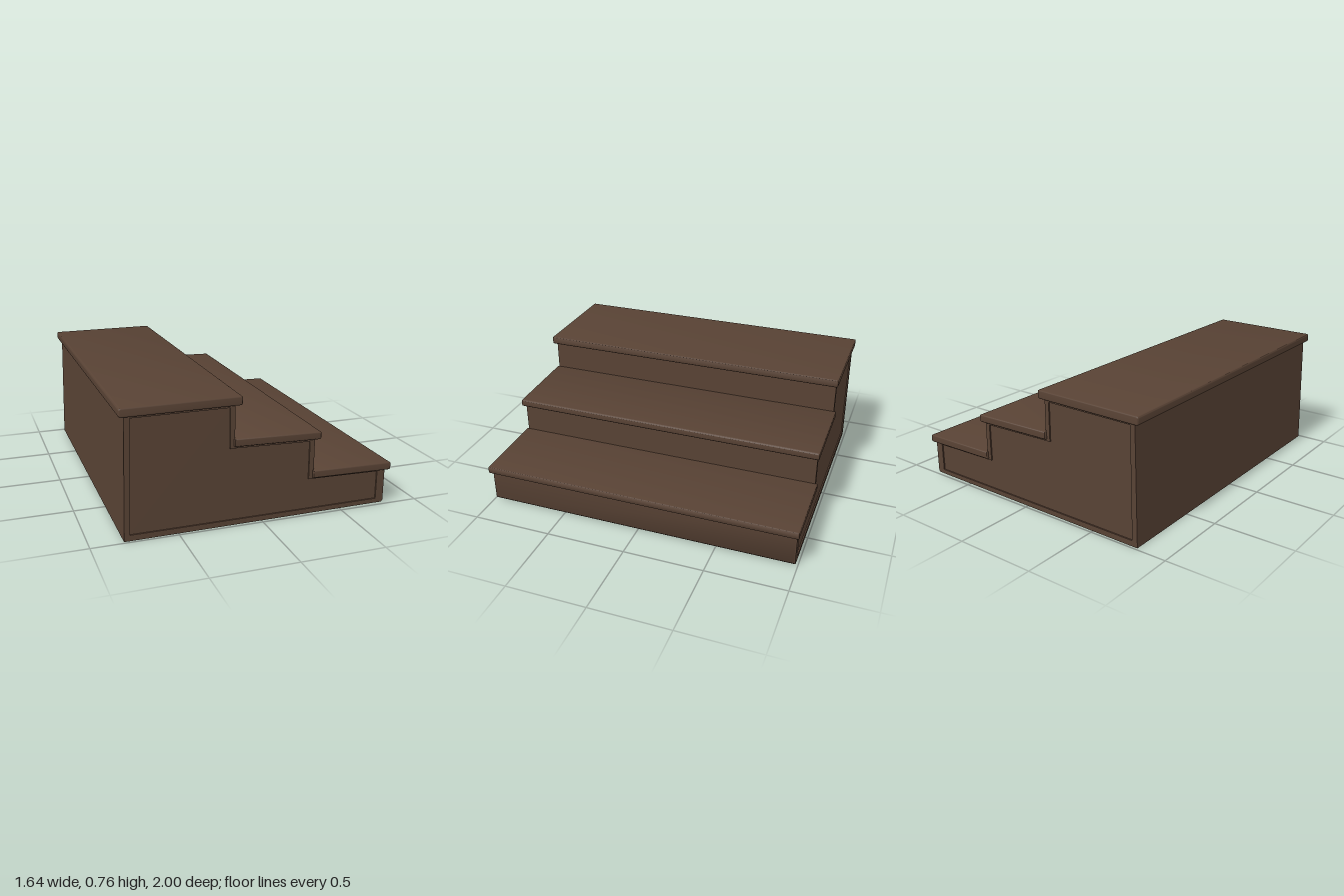
import * as THREE from 'three';
import { toCreasedNormals } from 'three/addons/utils/BufferGeometryUtils.js';

const wood = new THREE.MeshStandardMaterial({ color: 0x584234 });
wood.name = 'darkWood';

const points = (list) => list.map(([x, y]) => new THREE.Vector2(x, y));

// Extrudes an x-y outline along z between two depths, with optional rounded ends
function extrudeZ(name, shape, z0, z1, round = 0) {
  const geometry = new THREE.ExtrudeGeometry(shape, {
    depth: z1 - z0 - 2 * round,
    curveSegments: 6,
    bevelEnabled: round > 0,
    bevelThickness: round,
    bevelSize: round,
    bevelOffset: -round,
    bevelSegments: 3,
  });
  geometry.translate(0, 0, z0 + round);
  const mesh = new THREE.Mesh(toCreasedNormals(geometry, 0.7), wood);
  mesh.name = name;
  return mesh;
}

// Board cross-section with rounded corners, slightly sloping from left to right
function boardShape(x0, x1, bottom0, bottom1, thick, r0, r1) {
  const s = new THREE.Shape();
  const top0 = bottom0 + thick, top1 = bottom1 + thick;
  s.moveTo(x0 + r0, bottom0);
  s.lineTo(x1 - r1, bottom1);
  s.quadraticCurveTo(x1, bottom1, x1, bottom1 + r1);
  s.lineTo(x1, top1 - r1);
  s.quadraticCurveTo(x1, top1, x1 - r1, top1);
  s.lineTo(x0 + r0, top0);
  s.quadraticCurveTo(x0, top0, x0, top0 - r0);
  s.lineTo(x0, bottom0 + r0);
  s.quadraticCurveTo(x0, bottom0, x0 + r0, bottom0);
  return s;
}

export function createModel() {
  const group = new THREE.Group();
  group.name = 'steps';

  // Solid stepped body
  const outline = points([
    [-0.81, 0], [0.775, 0.008], [0.785, 0.02], [0.785, 0.235], [0.315, 0.25],
    [0.315, 0.48], [-0.172, 0.5], [-0.172, 0.73], [-0.79, 0.73],
  ]);
  group.add(extrudeZ('body', new THREE.Shape(outline), -0.978, 0.978));

  // Thin raised border around the recessed panel at each end
  const panel = points([
    [-0.775, 0.035], [-0.76, 0.7], [-0.2, 0.7], [-0.2, 0.465],
    [0.285, 0.45], [0.285, 0.22], [0.735, 0.21], [0.735, 0.035],
  ]);
  const border = new THREE.Shape(outline);
  border.holes.push(new THREE.Path(panel));
  group.add(extrudeZ('frontBorder', border, 0.978, 0.986));
  group.add(extrudeZ('backBorder', border, -0.986, -0.978));

  // Overhanging treads
  group.add(extrudeZ('topTread', boardShape(-0.82, -0.132, 0.71, 0.712, 0.052, 0.013, 0.013), -1, 1, 0.008));
  group.add(extrudeZ('middleTread', boardShape(-0.178, 0.35, 0.475, 0.461, 0.047, 0.004, 0.013), -1, 1, 0.008));
  group.add(extrudeZ('bottomTread', boardShape(0.308, 0.818, 0.226, 0.216, 0.047, 0.004, 0.013), -1, 1, 0.008));

  return group;
}
